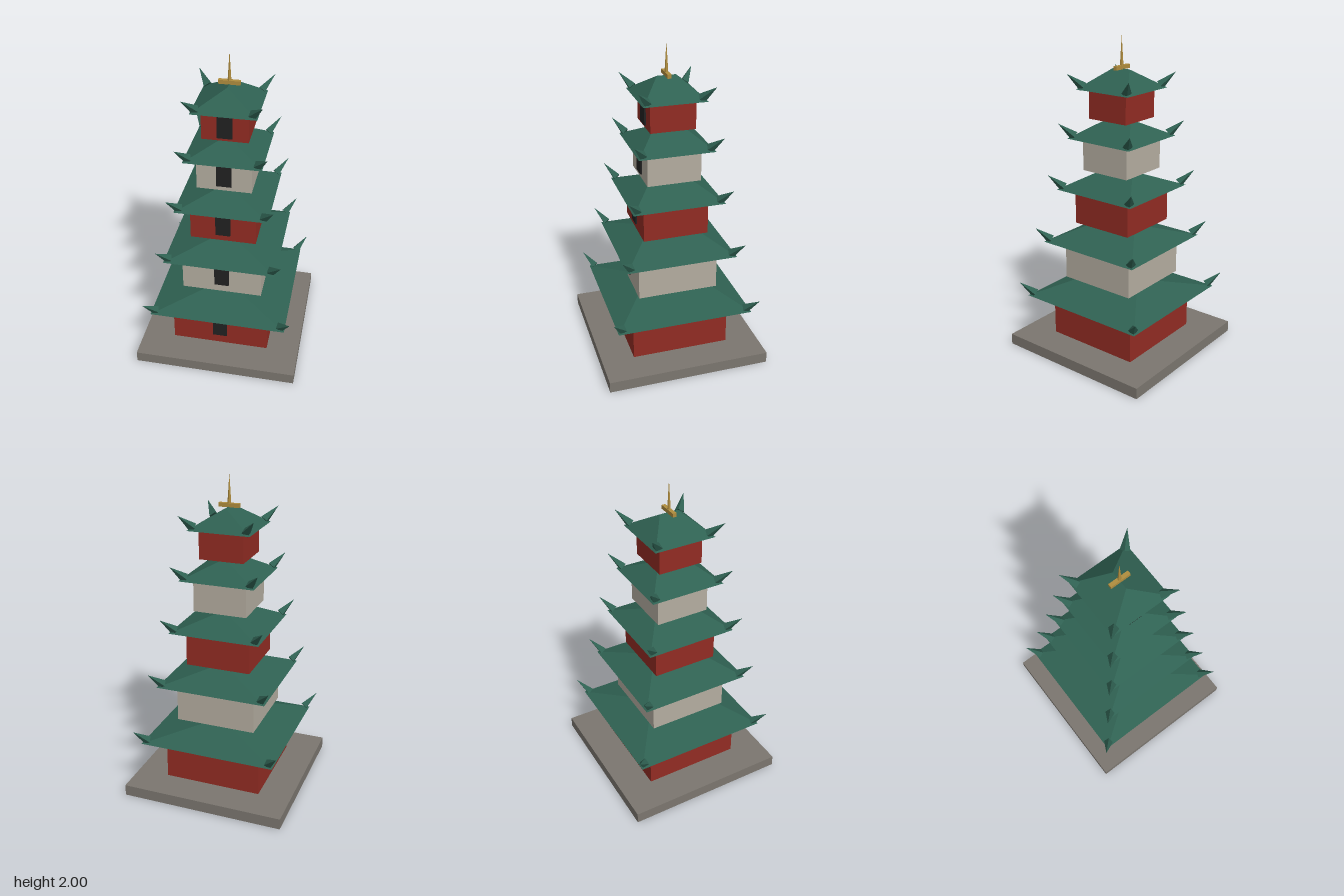
import * as THREE from 'three';

const mat = (name, color) => {
  const m = new THREE.MeshStandardMaterial({ color });
  m.name = name;
  return m;
};

// Hip roof: square eave, ridge running along z, closed underneath
function hipRoof(half, height, ridge) {
  const a = [-half, 0, half], b = [half, 0, half], c = [half, 0, -half], d = [-half, 0, -half];
  const f = [0, height, ridge], k = [0, height, -ridge];
  const faces = [a, b, f, c, d, k, b, c, k, b, k, f, d, a, f, d, f, k, a, d, c, a, c, b];
  const g = new THREE.BufferGeometry();
  g.setAttribute('position', new THREE.Float32BufferAttribute(faces.flat(), 3));
  g.computeVertexNormals();
  return g;
}

export function createModel() {
  const model = new THREE.Group();
  model.name = 'pagoda';
  const stone = mat('stone', 0x7b766f), red = mat('red wall', 0x922c23), cream = mat('cream wall', 0xb4ada0);
  const green = mat('green tile', 0x2f6152), black = mat('dark door', 0x222222), gold = mat('gold', 0xb08d3e);

  const add = (parent, name, geometry, material, x, y, z) => {
    const m = new THREE.Mesh(geometry, material);
    m.name = name;
    m.position.set(x, y, z);
    parent.add(m);
    return m;
  };

  add(model, 'base', new THREE.BoxGeometry(1.03, 0.07, 1.03), stone, 0, 0.035, 0);

  // Storeys: wall half width, floor, eave height, roof half width
  const storeys = [
    [0.31, 0.07, 0.345, 0.43],
    [0.253, 0.465, 0.715, 0.35],
    [0.205, 0.835, 1.06, 0.287],
    [0.168, 1.18, 1.383, 0.236],
    [0.14, 1.503, 1.683, 0.195],
  ];
  const roofHeight = 0.12;
  const hornGeometry = new THREE.ConeGeometry(0.03, 0.124, 4).toNonIndexed();
  hornGeometry.computeVertexNormals();

  storeys.forEach(([wall, floor, eave, half], i) => {
    const storey = new THREE.Group();
    storey.name = `storey${i + 1}`;
    model.add(storey);
    const mid = (floor + eave) / 2;
    add(storey, 'walls', new THREE.BoxGeometry(wall * 2, eave - floor, wall * 2), i % 2 ? cream : red, 0, mid, 0);
    add(storey, 'door', new THREE.BoxGeometry(0.092, 0.142, 0.0098), black, 0, mid, wall + 0.0049);
    add(storey, 'roof', hipRoof(half, roofHeight, half * 0.3), green, 0, eave, 0);
    add(storey, 'ridgeBar', new THREE.BoxGeometry(half * 0.667, 0.024, 0.024), gold, 0, eave + roofHeight + 0.008, 0);

    // Upturned horns leaning out over the four corners
    for (const sx of [-1, 1]) for (const sz of [-1, 1]) {
      const r = half + 0.003;
      const horn = add(storey, 'cornerHorn', hornGeometry, green, sx * r, eave + 0.055, sz * r);
      horn.rotation.set(0, Math.atan2(-sz, sx), -0.88, 'YXZ');
    }
  });

  // Finial
  const spire = new THREE.ConeGeometry(0.013, 0.2, 6).toNonIndexed();
  spire.computeVertexNormals();
  add(model, 'spire', spire, gold, 0, 1.9, 0);
  return model;
}
